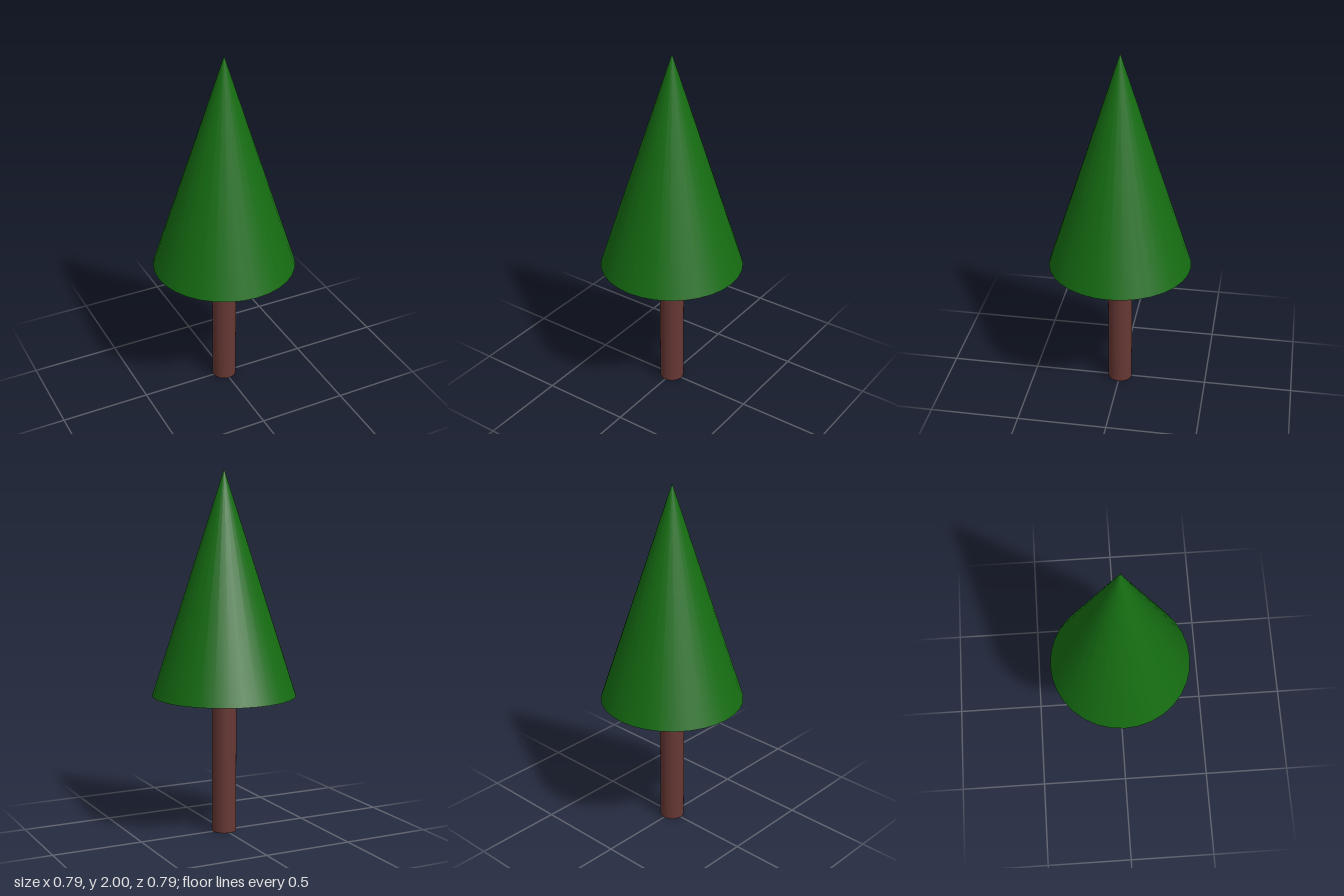
import * as THREE from 'three';

const SIDES = 32;
const TRUNK_TOP = 0.77;
const HEIGHT = 2;

function part(name, geometry, color, y) {
  const mesh = new THREE.Mesh(geometry, new THREE.MeshStandardMaterial({ color }));
  mesh.name = name;
  mesh.position.y = y;
  return mesh;
}

export function createModel() {
  const tree = new THREE.Group();
  tree.name = 'coniferTree';

  // Plain round trunk standing on the ground
  const trunk = new THREE.CylinderGeometry(0.068, 0.068, TRUNK_TOP, SIDES);
  tree.add(part('trunk', trunk, 0x663733, TRUNK_TOP / 2));

  // Single closed cone of foliage
  const crownHeight = HEIGHT - TRUNK_TOP;
  const crown = new THREE.ConeGeometry(0.397, crownHeight, SIDES);
  tree.add(part('foliage', crown, 0x156c12, TRUNK_TOP + crownHeight / 2));

  return tree;
}
